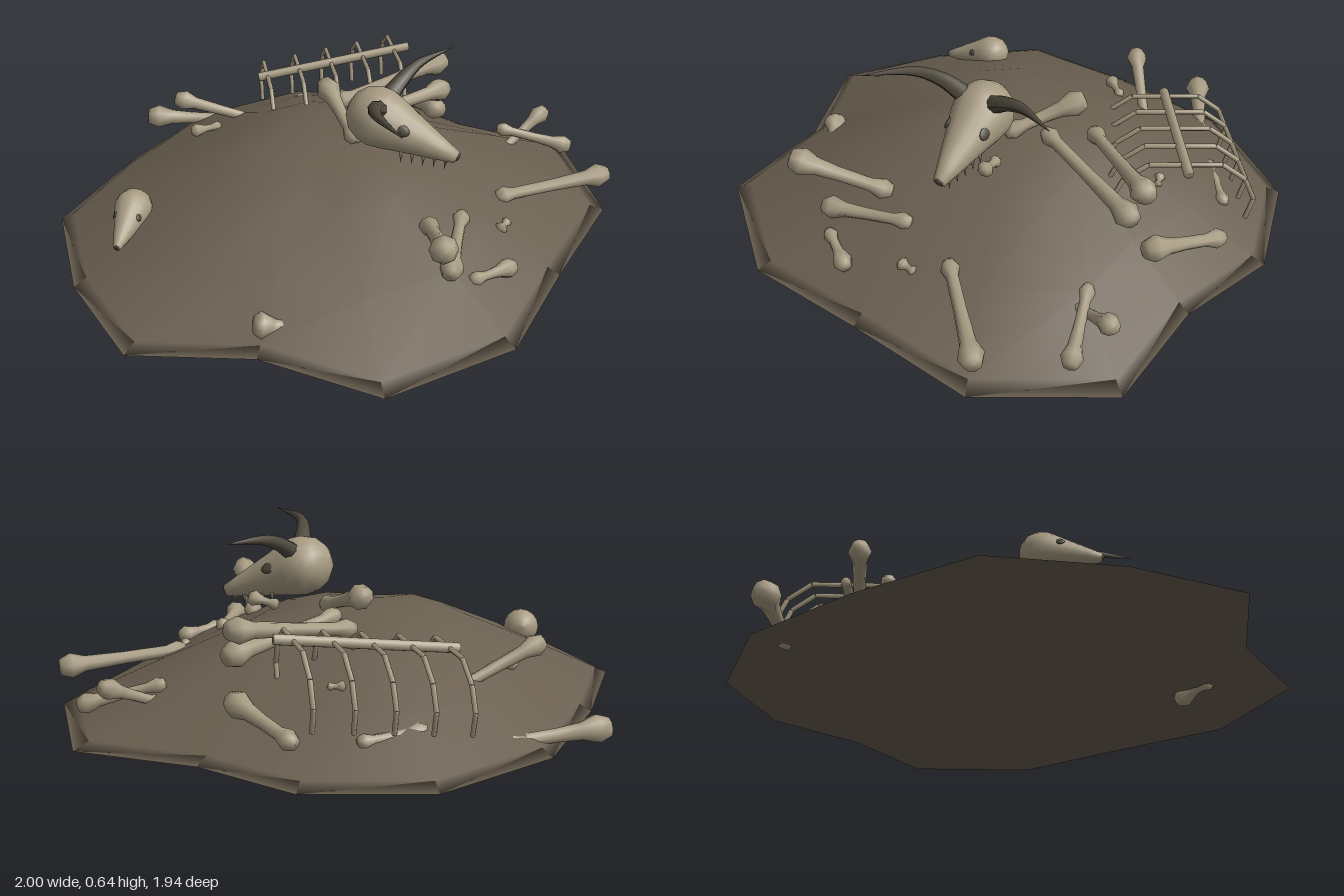
import * as THREE from 'three';

const V = (p) => new THREE.Vector3(...p);
const UP = new THREE.Vector3(0, 1, 0);

export function createModel() {
  const group = new THREE.Group();
  const material = (name, color) => {
    const m = new THREE.MeshStandardMaterial({ color });
    m.name = name;
    return m;
  };
  const boneMat = material('bone', 0xa79b82);
  const dirtMat = material('dirt', 0x6a5f50);
  const hornMat = material('horn', 0x4f493d);
  const socketMat = material('socket', 0x4a4438);

  const add = (name, geo, mat, parent = group) => {
    const mesh = new THREE.Mesh(geo, mat);
    mesh.name = name;
    parent.add(mesh);
    return mesh;
  };
  // Lathe whose axis runs from a towards b
  const lathe = (name, profile, a, b, sides, parent = group) => {
    const geo = new THREE.LatheGeometry(profile.map(([r, y]) => new THREE.Vector2(r, y)), sides);
    const mesh = add(name, geo, boneMat, parent);
    mesh.position.copy(V(a));
    mesh.quaternion.setFromUnitVectors(UP, V(b).sub(V(a)).normalize());
    return mesh;
  };

  // Dirt mound: irregular outline shrunk into rising rings, closed below
  const outline = [
    [-1, 0.05], [-0.87, -0.34], [-0.63, -0.69], [-0.19, -0.8], [0.27, -0.85], [0.69, -0.68], [0.905, -0.33],
    [0.895, 0.04], [1, 0.45], [0.69, 0.8], [0.23, 0.88], [-0.2, 0.97], [-0.64, 0.79], [-0.75, 0.38],
  ];
  const rings = [[1, 0.05], [0.95, 0.072], [0.7, 0.183], [0.4, 0.308], [0.2, 0.342]];
  const n = outline.length;
  const pos = [];
  const index = [];
  for (const [s, y] of rings) for (const [x, z] of outline) pos.push(x * s, y, z * s);
  const top = rings.length * n;
  pos.push(0, 0.36, 0, 0, 0.05, 0);
  for (let i = 0; i < n; i++) {
    const j = (i + 1) % n;
    for (let r = 0; r < rings.length - 1; r++) {
      const o = r * n, q = o + n;
      index.push(o + j, o + i, q + i, o + j, q + i, q + j);
    }
    index.push(top - n + j, top - n + i, top);
    index.push(i, j, top + 1);
  }
  const mound = new THREE.BufferGeometry();
  mound.setAttribute('position', new THREE.Float32BufferAttribute(pos, 3));
  mound.setIndex(index);
  mound.computeVertexNormals();
  add('mound', mound, dirtMat);

  // Long bones with a large knob at a and a smaller one at b; the points are the outer ends
  const bone = (name, a, b, k = 1) => {
    const L = V(a).distanceTo(V(b)) + 0.06 * k;
    const start = V(a).addScaledVector(V(b).sub(V(a)).normalize(), -0.03 * k).toArray();
    const e = Math.min(0.1 * k, L * 0.4);
    lathe(name, [
      [0, 0], [0.032 * k, 0.004], [0.048 * k, e * 0.45], [0.03 * k, e], [0.024 * k, L * 0.5],
      [0.023 * k, L - e * 0.8], [0.036 * k, L - e * 0.35], [0.024 * k, L - 0.004], [0, L],
    ], start, b, 8);
  };
  const bones = [
    [[-0.27, 0.355, 0.73], [-0.06, 0.25, 0.53]],
    [[-0.16, 0.2, 0.69], [0.09, 0.22, 0.56], 0.85],
    [[0.69, 0.19, 0.77], [0.34, 0.19, 0.57], 0.9],
    [[0.89, 0.235, 0.4], [0.7, 0.14, 0.355], 0.75],
    [[0.86, 0.15, 0.53], [0.72, 0.21, 0.33], 0.75],
    [[0.68, 0.425, 0.05], [0.29, 0.36, -0.12], 0.95],
    [[0.65, 0.33, 0.085], [0.19, 0.36, 0.005], 0.95],
    [[0.71, 0.2, 0.03], [0.78, 0.15, -0.22], 0.95],
    [[0.2, 0.45, -0.12], [0.09, 0.37, 0.09], 0.95],
    [[0.07, 0.1, -0.93], [0.28, 0.075, -0.71]],
    [[-0.03, 0.31, -0.66], [0.25, 0.16, -0.44], 0.8],
    [[0.05, 0.14, 0.785], [-0.09, 0.15, 0.74], 0.7],
    [[0.49, 0.14, -0.51], [0.65, 0.14, -0.4], 0.7],
  ];
  bones.forEach(([a, b, k]) => bone('longBone', a, b, k));

  // Small half-buried fragments
  const fragments = [
    [[-0.67, 0.11, 0.33], [-0.6, 0.09, 0.39], 0.95],
    [[-0.34, 0.036, 0.56], [-0.45, 0.06, 0.56], 0.75],
    [[-0.06, 0.22, -0.56], [0.02, 0.22, -0.52], 0.55],
    [[0.2, 0.16, 0.655], [0.24, 0.16, 0.65], 0.5],
    [[0.7, 0.14, 0.22], [0.72, 0.14, 0.27], 0.5],
    [[0.5, 0.24, -0.23], [0.52, 0.24, -0.2], 0.4],
  ];
  fragments.forEach(([a, b, k]) => bone('boneFragment', a, b, k));

  // Rib cage: a spine rod with angular ribs on both sides
  const ribCage = new THREE.Group();
  ribCage.name = 'ribCage';
  group.add(ribCage);
  const rod = (name, a, b, r, sides) => {
    const L = V(a).distanceTo(V(b));
    lathe(name, [[0, 0], [r, 0.001], [r, L - 0.001], [0, L]], a, b, sides, ribCage);
  };
  const s0 = V([0.25, 0.345, -0.51]);
  const s1 = V([0.71, 0.43, -0.12]);
  rod('spine', s0.toArray(), s1.toArray(), 0.018, 8);
  const out = V([0.66, 0, -0.75]);
  const ribPath = [[0, 0], [0.12, 0], [0.2, -0.06], [0.235, -0.14], [0.215, -0.22]];
  for (let i = 0; i < 5; i++) {
    const p = s0.clone().lerp(s1, 0.06 + i * 0.21);
    for (const side of [1, -1]) {
      const pts = ribPath.map(([o, y]) => {
        const q = p.clone().addScaledVector(out, o * side);
        q.y += y;
        return q.toArray();
      });
      for (let k = 0; k < 4; k++) rod('rib', pts[k], pts[k + 1], 0.0085, 6);
    }
  }

  // Skull built along its own +y axis (snout), with +z as the forehead side
  const makeSkull = (name, origin, snoutTip, size) => {
    const skull = new THREE.Group();
    skull.name = name;
    const dir = V(snoutTip).sub(V(origin)).normalize();
    const side = new THREE.Vector3().crossVectors(dir, UP).normalize();
    const brow = new THREE.Vector3().crossVectors(side, dir);
    skull.quaternion.setFromRotationMatrix(new THREE.Matrix4().makeBasis(side, dir, brow));
    skull.position.copy(V(origin));
    skull.scale.setScalar(size);
    group.add(skull);
    lathe('cranium', [
      [0, -0.105], [0.045, -0.095], [0.082, -0.066], [0.102, -0.025], [0.106, 0.015], [0.096, 0.06],
      [0.08, 0.11], [0.06, 0.18], [0.04, 0.25], [0.022, 0.31], [0, 0.315],
    ], [0, 0, 0], [0, 1, 0], 16, skull);
    const socket = new THREE.SphereGeometry(1, 10, 8);
    for (const s of [1, -1]) {
      const eye = add('eyeSocket', socket, socketMat, skull);
      eye.position.set(0.069 * s, 0.105, 0.038);
      eye.rotation.y = s * 1.05;
      eye.scale.set(0.02, 0.028, 0.008);
    }
    const nose = add('noseHole', socket, socketMat, skull);
    nose.position.set(0, 0.312, 0.004);
    nose.scale.set(0.016, 0.008, 0.016);
    return skull;
  };
  const skull = makeSkull('hornedSkull', [0.075, 0.495, 0.2], [0.18, 0.38, 0.49], 1);
  makeSkull('smallSkull', [-0.555, 0.2, -0.37], [-0.7, 0.16, -0.29], 0.62);

  // Teeth hanging under the snout
  for (const s of [1, -1]) {
    for (let i = 0; i < 5; i++) {
      const y = 0.14 + i * 0.036;
      const r = 0.075 - i * 0.0125;
      const tooth = add('tooth', new THREE.ConeGeometry(0.009, 0.05, 5), boneMat, skull);
      tooth.position.set(s * r * 0.6, y, -r * 0.8 - 0.012);
      tooth.rotation.x = -Math.PI / 2 + 0.3;
    }
  }
  bone('jawBone', [0.22, 0.39, 0.32], [0.19, 0.37, 0.25], 0.6);

  // Horns: tubes tapered towards the tip
  const horn = (name, points, r) => {
    const curve = new THREE.CatmullRomCurve3(points.map(V));
    const steps = 14, sides = 8;
    const geo = new THREE.TubeGeometry(curve, steps, r, sides);
    const p = geo.attributes.position;
    const v = new THREE.Vector3();
    for (let i = 0; i < p.count; i++) {
      const t = Math.floor(i / (sides + 1)) / steps;
      const c = curve.getPointAt(t);
      v.fromBufferAttribute(p, i).sub(c).multiplyScalar(1 - 0.97 * t).add(c);
      p.setXYZ(i, v.x, v.y, v.z);
    }
    geo.computeVertexNormals();
    add(name, geo, hornMat);
  };
  horn('leftHorn', [[0.13, 0.55, 0.21], [0.2, 0.59, 0.215], [0.29, 0.62, 0.22], [0.45, 0.632, 0.25]], 0.034);
  horn('rightHorn', [[0.03, 0.55, 0.24], [-0.04, 0.595, 0.28], [-0.11, 0.62, 0.34], [-0.19, 0.632, 0.5]], 0.034);

  return group;
}
